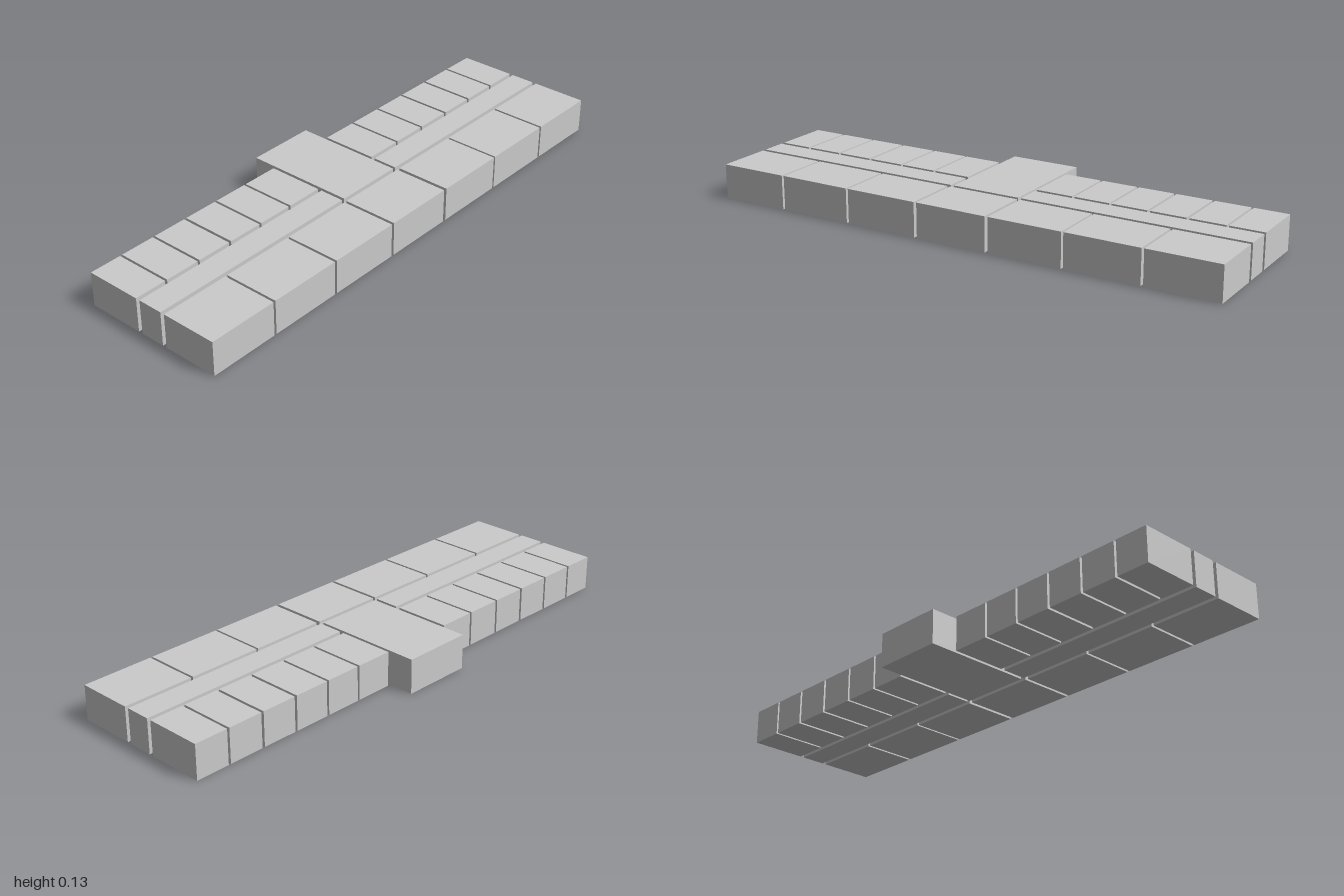
import * as THREE from 'three';

const HEIGHT = 0.13;

export function createModel() {
  const model = new THREE.Group();
  model.name = 'floorBlocks';
  const material = new THREE.MeshStandardMaterial({ color: 0xcccccc, flatShading: true });

  // A block standing on the ground between two x and two z limits
  function addBlock(parent, name, x0, x1, z0, z1) {
    const mesh = new THREE.Mesh(new THREE.BoxGeometry(x1 - x0, HEIGHT, z1 - z0), material);
    mesh.position.set((x0 + x1) / 2, HEIGHT / 2, (z0 + z1) / 2);
    mesh.name = name;
    parent.add(mesh);
  }

  // A row of blocks from [start, end] pairs along x
  function addRow(name, spans, z0, z1) {
    const row = new THREE.Group();
    row.name = name + 'Row';
    spans.forEach(([x0, x1], i) => addBlock(row, name + (i + 1), x0, x1, z0, z1));
    model.add(row);
  }

  // Large rooms along the front
  addRow('frontRoom', [
    [-1, -0.733], [-0.724, -0.443], [-0.434, -0.152], [-0.141, 0.135],
    [0.148, 0.429], [0.437, 0.719], [0.728, 1],
  ], 0.113, 0.325);

  // Small rooms along the back, on both sides of the hall
  addRow('backRoom', [
    [-1, -0.876], [-0.867, -0.732], [-0.723, -0.588],
    [-0.578, -0.443], [-0.434, -0.298], [-0.289, -0.147],
    [0.142, 0.283], [0.292, 0.428], [0.437, 0.573],
    [0.583, 0.718], [0.728, 0.862], [0.871, 1],
  ], -0.228, -0.014);

  // Corridors between the room rows
  addRow('corridor', [[-1, -0.147], [0.142, 1]], 0.002, 0.097);

  // Central hall reaching out at the back
  addBlock(model, 'centralHall', -0.135, 0.131, -0.325, 0.097);

  return model;
}
